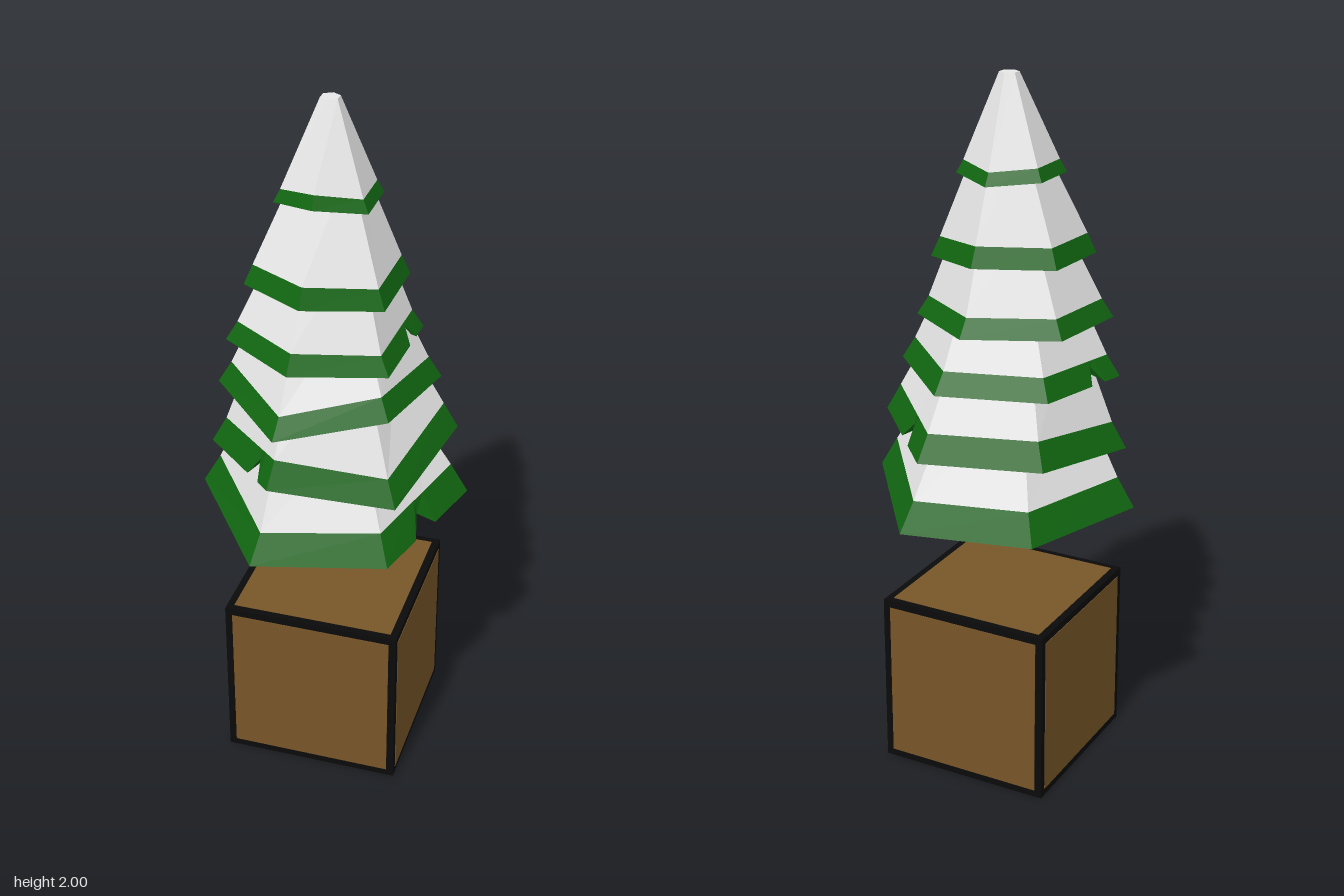
import * as THREE from 'three';

const paint = (name, color, side = THREE.FrontSide) => {
  const m = new THREE.MeshStandardMaterial({ color, side });
  m.name = name;
  return m;
};

// Faceted skin between consecutive rings of points (listed lower to upper).
function skin(...rings) {
  const pos = [];
  const add = (...pts) => pts.forEach((p) => pos.push(p.x, p.y, p.z));
  for (let k = 0; k + 1 < rings.length; k++) {
    const a = rings[k], b = rings[k + 1];
    for (let i = 0; i < a.length; i++) {
      const j = (i + 1) % a.length;
      add(a[j], a[i], b[i], a[j], b[i], b[j]);
    }
  }
  const g = new THREE.BufferGeometry();
  g.setAttribute('position', new THREE.Float32BufferAttribute(pos, 3));
  g.computeVertexNormals();
  return g;
}

// Six-sided ring; heights give each corner, notches are small bites in an edge.
function ring(cx, cz, r, turn, heights, notches = [], bite = 0, pull = 0) {
  const corners = heights.map((y, i) => {
    const t = THREE.MathUtils.degToRad(turn + i * 60);
    return new THREE.Vector3(cx + r * Math.cos(t), y, cz + r * Math.sin(t));
  });
  const out = [];
  corners.forEach((c, i) => {
    out.push(c);
    const next = corners[(i + 1) % 6];
    for (const [edge, at, width] of notches) {
      if (edge !== i) continue;
      for (const s of [-1, 0, 1]) {
        const p = c.clone().lerp(next, at + s * width);
        if (s === 0) {
          p.x += (cx - p.x) * pull;
          p.z += (cz - p.z) * pull;
          p.y += bite;
        }
        out.push(p);
      }
    }
  });
  return out;
}

// Tiers of branches, from the bottom up
const TIERS = [
  { c: [0, 0], r: 0.38, turn: -9, y: [0.84, 0.785, 0.755, 0.81, 0.8, 0.785], band: 0.085, f: 0.87, top: [1.15, 0.2], notches: [[0, 0.53, 0.12]] },
  { c: [0, 0], r: 0.345, turn: -15, y: [1.03, 0.945, 1.0, 0.97, 1.0, 0.995], band: 0.075, f: 0.88, top: [1.35, 0.18], notches: [[2, 0.25, 0.09], [5, 0.4, 0.09]] },
  { c: [-0.01, 0.01], r: 0.307, turn: -17, y: [1.19, 1.2, 1.14, 1.175, 1.18, 1.18], band: 0.06, f: 0.88, top: [1.5, 0.15], notches: [[3, 0.3, 0.09]] },
  { c: [-0.02, 0.02], r: 0.27, turn: -25, y: [1.33, 1.31, 1.335, 1.33, 1.335, 1.335], band: 0.052, f: 0.88, top: [1.65, 0.12], notches: [[0, 0.3, 0.09]] },
  { c: [-0.01, 0.03], r: 0.225, turn: -28, y: [1.495, 1.49, 1.515, 1.505, 1.51, 1.515], band: 0.055, f: 0.89, top: [1.84, 0.075] },
  { c: [-0.01, 0.0175], r: 0.148, turn: -30, y: [1.73, 1.73, 1.755, 1.73, 1.73, 1.72], band: 0.035, f: 0.87, top: [2, 0.027] },
];

export function createModel() {
  const model = new THREE.Group();
  const snow = paint('snow white', 0xeeeeee);
  const green = paint('needle green', 0x116611);
  const brown = paint('bark brown', 0x785628);
  const black = paint('edge black', 0x0a0a0a);
  const add = (parent, name, geometry, material) => {
    const mesh = new THREE.Mesh(geometry, material);
    mesh.name = name;
    parent.add(mesh);
    return mesh;
  };

  // Trunk block: dark frame with a bark panel on each side
  const trunk = new THREE.Group();
  trunk.name = 'trunk';
  trunk.position.set(0.003, 0.256, 0);
  model.add(trunk);
  add(trunk, 'trunkFrame', new THREE.BoxGeometry(0.51, 0.51, 0.51), black);
  for (const axis of ['x', 'y', 'z']) {
    for (const side of [-1, 1]) {
      const size = { x: 0.468, y: 0.468, z: 0.468 };
      size[axis] = 0.004;
      const panel = add(trunk, 'barkPanel', new THREE.BoxGeometry(size.x, size.y, size.z), brown);
      panel.position[axis] = side * 0.2545;
    }
  }

  // Foliage: snowy cone above, green skirt below, hollow green underside
  TIERS.forEach(({ c, r, turn, y, band, f, top, notches = [] }, i) => {
    const tier = new THREE.Group();
    tier.name = 'branchTier' + (i + 1);
    model.add(tier);
    const level = (h) => Array(6).fill(h);
    const raised = (d) => y.map((v) => v + d);
    const rim = ring(c[0], c[1], r, turn, y, notches, 0.045, 0.1);
    const lip = ring(c[0], c[1], r * 0.85, turn, raised(0.015), notches, 0.045, 0.02);
    const snowLine = ring(c[0], c[1], r * f, turn, raised(band), notches);
    const peak = ring(-0.01, 0.004, top[1], turn, level(top[0]), notches);
    const roofY = Math.max(...y) + band * 2;
    const roof = ring(c[0], c[1], r * 0.55, turn, level(roofY), notches);
    const roofCentre = ring(c[0], c[1], 0.001, turn, level(roofY), notches);
    const peakCentre = ring(-0.01, 0.004, 0.0005, turn, level(top[0]), notches);

    add(tier, 'greenSkirt', skin(rim, snowLine), green);
    add(tier, 'snowCover', skin(snowLine, peak, peakCentre), snow);
    add(tier, 'underside', skin(roofCentre, roof, lip, rim), green);
  });

  return model;
}
